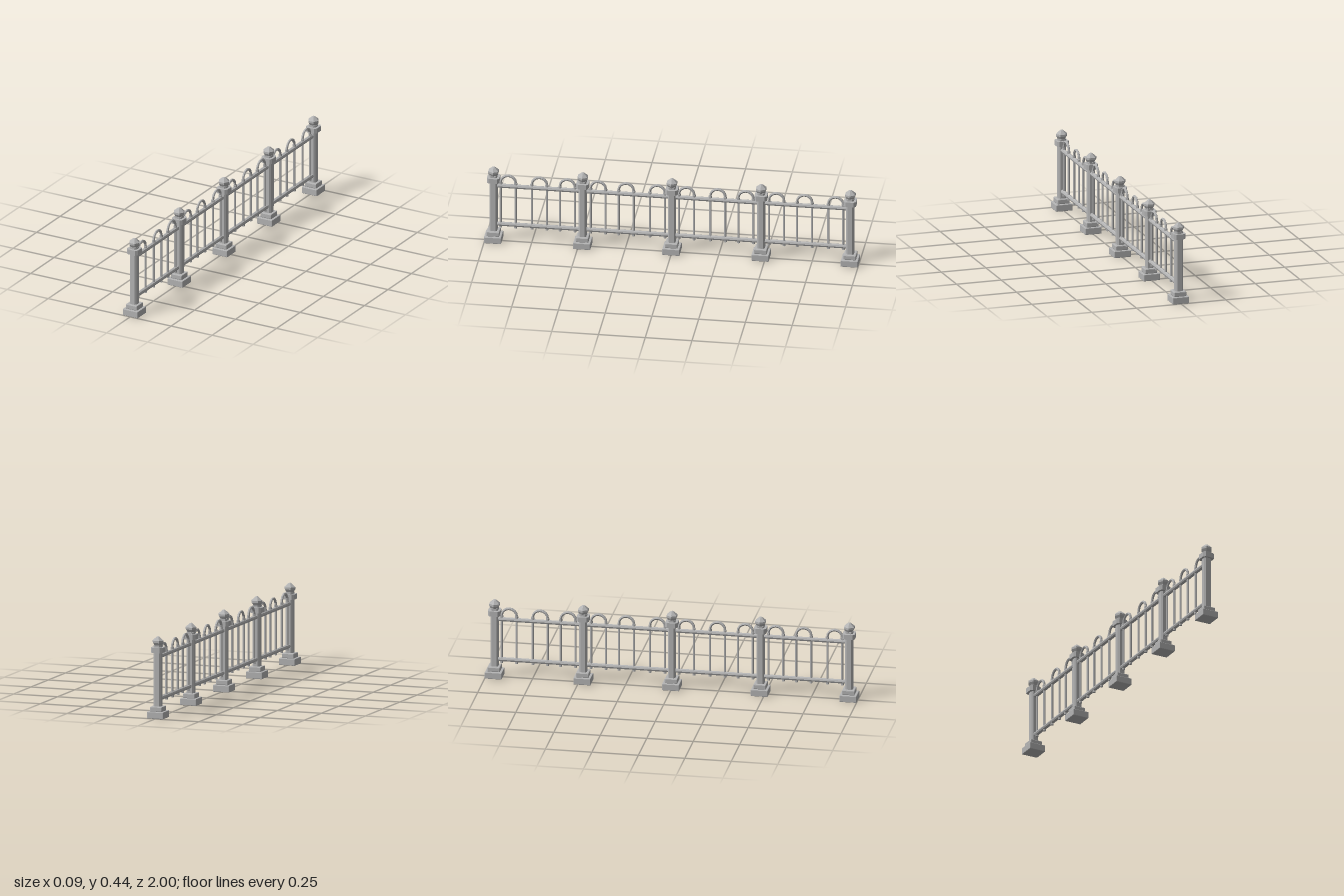
import * as THREE from 'three';
import { RoundedBoxGeometry } from 'three/addons/geometries/RoundedBoxGeometry.js';

const iron = new THREE.MeshStandardMaterial({ color: 0xb4b4b4, flatShading: true });
iron.name = 'grey iron';

const POST_GAP = 0.477;
const ARCH_RADIUS = 0.04;
const ARCH_OFFSETS = [0.078, 0.245, 0.395]; // arch centres measured from one post of a bay

function add(parent, name, geometry, x = 0, y = 0, z = 0) {
  const mesh = new THREE.Mesh(geometry, iron);
  mesh.name = name;
  mesh.position.set(x, y, z);
  parent.add(mesh);
  return mesh;
}

// upright prism with a square section whose corners are cut off
function chamferedPrism(half, cut, height) {
  const a = half, b = half - cut;
  const shape = new THREE.Shape([
    [a, -b], [a, b], [b, a], [-b, a], [-a, b], [-a, -b], [-b, -a], [b, -a],
  ].map(([x, y]) => new THREE.Vector2(x, y)));
  return new THREE.ExtrudeGeometry(shape, { depth: height, bevelEnabled: false }).rotateX(-Math.PI / 2);
}

function createPost() {
  const post = new THREE.Group();
  post.name = 'post';
  add(post, 'postBase', new RoundedBoxGeometry(0.092, 0.037, 0.092, 1, 0.003), 0, 0.0185, 0);
  add(post, 'postStep', new RoundedBoxGeometry(0.068, 0.027, 0.068, 1, 0.004), 0, 0.0495, 0);
  add(post, 'postShaft', chamferedPrism(0.0205, 0.008, 0.33), 0, 0.06, 0);
  add(post, 'postCollar', chamferedPrism(0.033, 0.011, 0.028), 0, 0.351, 0);
  // faceted knob with a shallow pointed top
  const profile = [[0, 0.387], [0.021, 0.388], [0.031, 0.404], [0.031, 0.415], [0.008, 0.435], [0, 0.438]]
    .map(([r, y]) => new THREE.Vector2(r, y));
  add(post, 'postKnob', new THREE.LatheGeometry(profile, 6, Math.PI / 6));
  return post;
}

// two bars joined by a hoop above the top rail
function createHoop() {
  const hoop = new THREE.Group();
  hoop.name = 'hoop';
  for (const side of [-1, 1]) {
    const z = side * ARCH_RADIUS;
    add(hoop, 'bar', new THREE.CylinderGeometry(0.006, 0.006, 0.27, 6), 0, 0.215, z);
    add(hoop, 'barCollar', new THREE.CylinderGeometry(0.009, 0.009, 0.012, 6), 0, 0.343, z);
    add(hoop, 'barFoot', new THREE.CylinderGeometry(0.008, 0.008, 0.012, 6), 0, 0.086, z);
  }
  const points = [];
  for (let i = 0; i <= 8; i++) {
    const a = Math.PI * i / 8;
    points.push(new THREE.Vector3(0, 0.349 + ARCH_RADIUS * Math.sin(a), ARCH_RADIUS * Math.cos(a)));
  }
  add(hoop, 'hoopArch', new THREE.TubeGeometry(new THREE.CatmullRomCurve3(points), 8, 0.0075, 6));
  return hoop;
}

function createBay() {
  const bay = new THREE.Group();
  bay.name = 'railingBay';
  for (const [name, y] of [['topRail', 0.327], ['bottomRail', 0.1]]) {
    const rail = new THREE.CylinderGeometry(0.012, 0.012, POST_GAP - 0.02, 8).rotateX(Math.PI / 2);
    add(bay, name, rail, 0, y, 0);
  }
  for (const offset of ARCH_OFFSETS) {
    const hoop = createHoop();
    hoop.position.z = POST_GAP / 2 - offset;
    bay.add(hoop);
  }
  return bay;
}

export function createModel() {
  const fence = new THREE.Group();
  fence.name = 'railingFence';
  for (let i = 0; i < 5; i++) {
    const post = createPost();
    post.position.z = (2 - i) * POST_GAP;
    fence.add(post);
  }
  // every second bay is turned round
  for (let i = 0; i < 4; i++) {
    const bay = createBay();
    bay.position.z = (1.5 - i) * POST_GAP;
    bay.rotation.y = i % 2 ? Math.PI : 0;
    fence.add(bay);
  }
  return fence;
}
